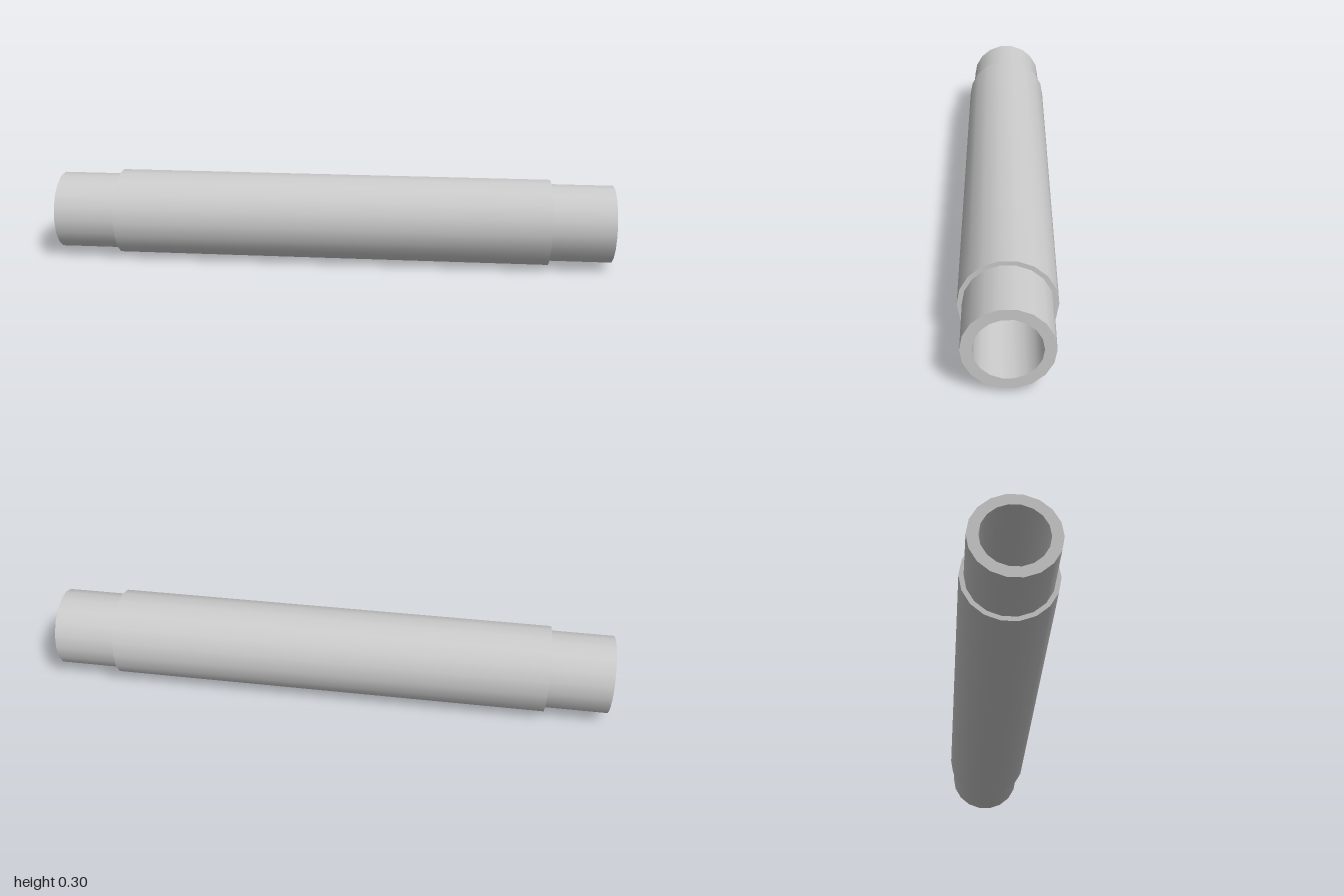
import * as THREE from 'three';
import { toCreasedNormals } from 'three/addons/utils/BufferGeometryUtils.js';

const SIDES = 18;
const AXIS_Y = 0.1545;
const material = new THREE.MeshStandardMaterial({ color: 0xcccccc });

// Hollow cylinder along x: smooth round walls, sharp rims
function pipe(name, inner, outer, halfLength) {
  const profile = [
    [inner, -halfLength],
    [outer, -halfLength],
    [outer, halfLength],
    [inner, halfLength],
    [inner, -halfLength],
  ].map(([r, h]) => new THREE.Vector2(r, h));
  const geometry = toCreasedNormals(new THREE.LatheGeometry(profile, SIDES), Math.PI / 5);
  geometry.rotateZ(-Math.PI / 2);
  const mesh = new THREE.Mesh(geometry, material);
  mesh.name = name;
  mesh.position.y = AXIS_Y;
  return mesh;
}

export function createModel() {
  const model = new THREE.Group();
  model.name = 'sleevedTube';
  // Long inner tube, open at both ends
  model.add(pipe('innerTube', 0.1035, 0.139, 1));
  // Thicker sleeve around the middle, sunk slightly into the tube wall
  model.add(pipe('outerSleeve', 0.13, 0.1545, 0.778));
  return model;
}
